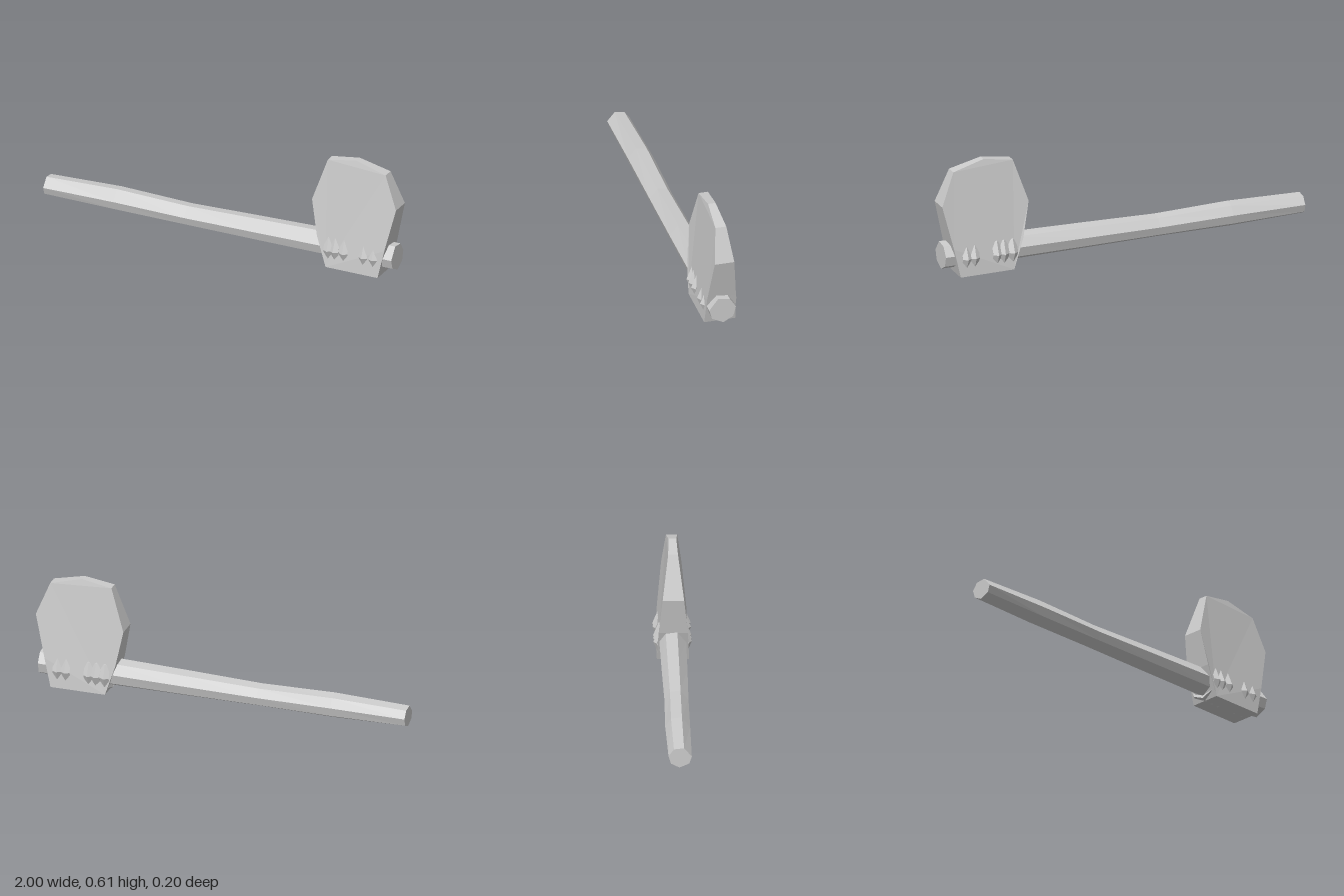
import * as THREE from 'three';

// Splits shared corners so that every face is shaded flat
function flat(geometry) {
  const g = geometry.index ? geometry.toNonIndexed() : geometry;
  g.computeVertexNormals();
  return g;
}

// Linear lookup in a list of [key, value] pairs
function lookup(table, t) {
  for (let i = 1; i < table.length; i++) {
    const [a, va] = table[i - 1], [b, vb] = table[i];
    if (t <= b) return va + (vb - va) * Math.max(0, (t - a) / (b - a));
  }
  return table[table.length - 1][1];
}

// Uneven seven-sided shaft, lofted along x
function handleGeometry() {
  const ring = [[0.024, 0.07], [-0.038, 0.062], [-0.071, 0.012], [-0.056, -0.042],
    [-0.004, -0.071], [0.056, -0.042], [0.071, 0.008]]; // z, y
  const sections = [ // x, centre y, centre z, scale y, scale z
    [-1, 0.103, 0, 0.75, 0.84], [-0.6, 0.104, -0.003, 0.9, 0.9], [-0.2, 0.098, 0, 0.82, 0.87],
    [0.2, 0.101, 0, 0.92, 0.93], [0.6, 0.104, 0, 1, 0.97], [0.985, 0.105, 0.008, 1, 1]];
  const n = ring.length, positions = [], index = [];
  for (const [x, cy, cz, sy, sz] of sections) {
    for (const [z, y] of ring) positions.push(x, cy + y * sy, cz + z * sz);
  }
  const last = (sections.length - 1) * n;
  for (let i = 0; i < last; i += n) {
    for (let j = 0; j < n; j++) {
      const a = i + j, b = i + (j + 1) % n;
      index.push(a, a + n, b, b, a + n, b + n);
    }
  }
  for (let j = 1; j < n - 1; j++) { // end caps
    index.push(0, j, j + 1, last, last + j + 1, last + j);
  }
  const g = new THREE.BufferGeometry();
  g.setAttribute('position', new THREE.Float32BufferAttribute(positions, 3));
  g.setIndex(index);
  return flat(g);
}

// Stone head: outline extruded, then thinned towards the cutting edge
function headGeometry() {
  const outline = [[0.615, 0.006], [0.91, 0.004], [0.945, 0.16], [1, 0.39], [0.93, 0.565],
    [0.76, 0.61], [0.6, 0.585], [0.525, 0.36], [0.562, 0.17]];
  const halfDepth = [[0, 0.083], [0.16, 0.076], [0.39, 0.052], [0.565, 0.029], [0.61, 0.02]];
  const shape = new THREE.Shape(outline.map(([x, y]) => new THREE.Vector2(x, y)));
  const g = new THREE.ExtrudeGeometry(shape, { depth: 1, bevelEnabled: false });
  const p = g.attributes.position;
  for (let i = 0; i < p.count; i++) {
    p.setZ(i, (p.getZ(i) * 2 - 1) * lookup(halfDepth, p.getY(i)) + 0.002);
  }
  return flat(g);
}

export function createModel() {
  const model = new THREE.Group();
  const stone = new THREE.MeshStandardMaterial({ color: 0xcccccc });
  stone.name = 'pale grey';

  const add = (name, geometry) => {
    const mesh = new THREE.Mesh(geometry, stone);
    mesh.name = name;
    model.add(mesh);
    return mesh;
  };

  add('handle', handleGeometry());
  add('axeHead', headGeometry());

  // Cord loops around the shaft, poking out through the head
  const cord = flat(new THREE.TorusGeometry(0.076, 0.023, 5, 8).rotateY(Math.PI / 2));
  [0.622, 0.665, 0.71, 0.827, 0.878].forEach((x, i) => {
    const loop = add('cordLoop' + (i + 1), cord);
    loop.position.set(x, 0.1, 0);
    loop.scale.x = 1.1;
    loop.rotation.y = (i % 2 ? -1 : 1) * 0.04;
  });

  return model;
}
